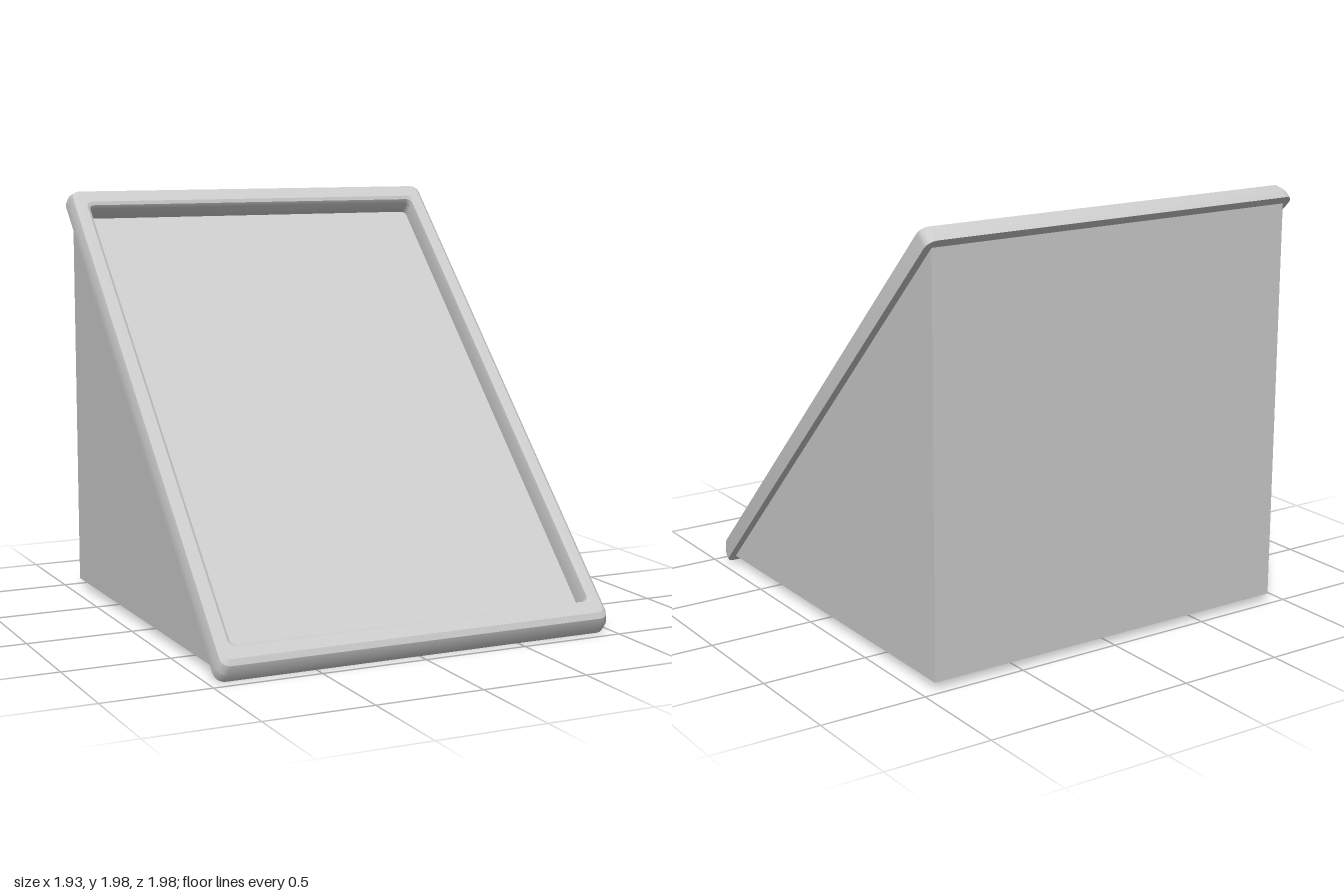
import * as THREE from 'three';
import { toCreasedNormals } from 'three/addons/utils/BufferGeometryUtils.js';

const HALF_W = 0.966, HALF_L = 1.37;

// Rounded rectangle, counter-clockwise, at height z
function rectLoop(insetX, insetY, radius, z) {
  const hw = HALF_W - insetX, hl = HALF_L - insetY, steps = 4, pts = [];
  [[1, 1], [-1, 1], [-1, -1], [1, -1]].forEach(([sx, sy], corner) => {
    for (let k = 0; k <= steps; k++) {
      const a = (corner + k / steps) * Math.PI / 2;
      pts.push([
        sx * (hw - radius) + radius * Math.cos(a),
        sy * (hl - radius) + radius * Math.sin(a),
        z,
      ]);
    }
  });
  return pts;
}

// Skin a closed ring of loops
function skinRing(loops) {
  const pos = [];
  loops.forEach((lower, j) => {
    const upper = loops[(j + 1) % loops.length];
    lower.forEach((a, i) => {
      const n = (i + 1) % lower.length;
      pos.push(...a, ...lower[n], ...upper[n], ...a, ...upper[n], ...upper[i]);
    });
  });
  const geo = new THREE.BufferGeometry();
  geo.setAttribute('position', new THREE.Float32BufferAttribute(pos, 3));
  return toCreasedNormals(geo, 0.45);
}

export function createModel() {
  const model = new THREE.Group();
  const grey = new THREE.MeshStandardMaterial({ color: 0xcccccc });

  // Sloping frame: cross-section as inset x, inset y, corner radius, height
  const profile = [
    [0, 0, 0.045, 0],
    [0, 0.004, 0.045, 0.045],
    [0.012, 0.024, 0.04, 0.086],
    [0.03, 0.05, 0.03, 0.1],
    [0.066, 0.105, 0.035, 0.1],
    [0.08, 0.12, 0.028, 0.09],
    [0.085, 0.127, 0.025, 0.07],
    [0.085, 0.127, 0.025, 0],
  ];
  const frame = new THREE.Mesh(skinRing(profile.map(p => rectLoop(...p))), grey);
  frame.name = 'frame';
  frame.rotation.x = -Math.PI / 4;
  frame.position.set(0, 0.971, -0.031);
  model.add(frame);

  // Wedge body behind the frame; its slope is the recessed panel
  const side = new THREE.Shape([
    new THREE.Vector2(0.968, 0.037),
    new THREE.Vector2(0.968, 1.906),
    new THREE.Vector2(-0.901, 0.037),
  ]);
  const wedgeGeo = new THREE.ExtrudeGeometry(side, { depth: 1.86, bevelEnabled: false });
  wedgeGeo.translate(0, 0, -0.93);
  wedgeGeo.rotateY(Math.PI / 2);
  const wedge = new THREE.Mesh(wedgeGeo, grey);
  wedge.name = 'wedgeBody';
  model.add(wedge);

  return model;
}
